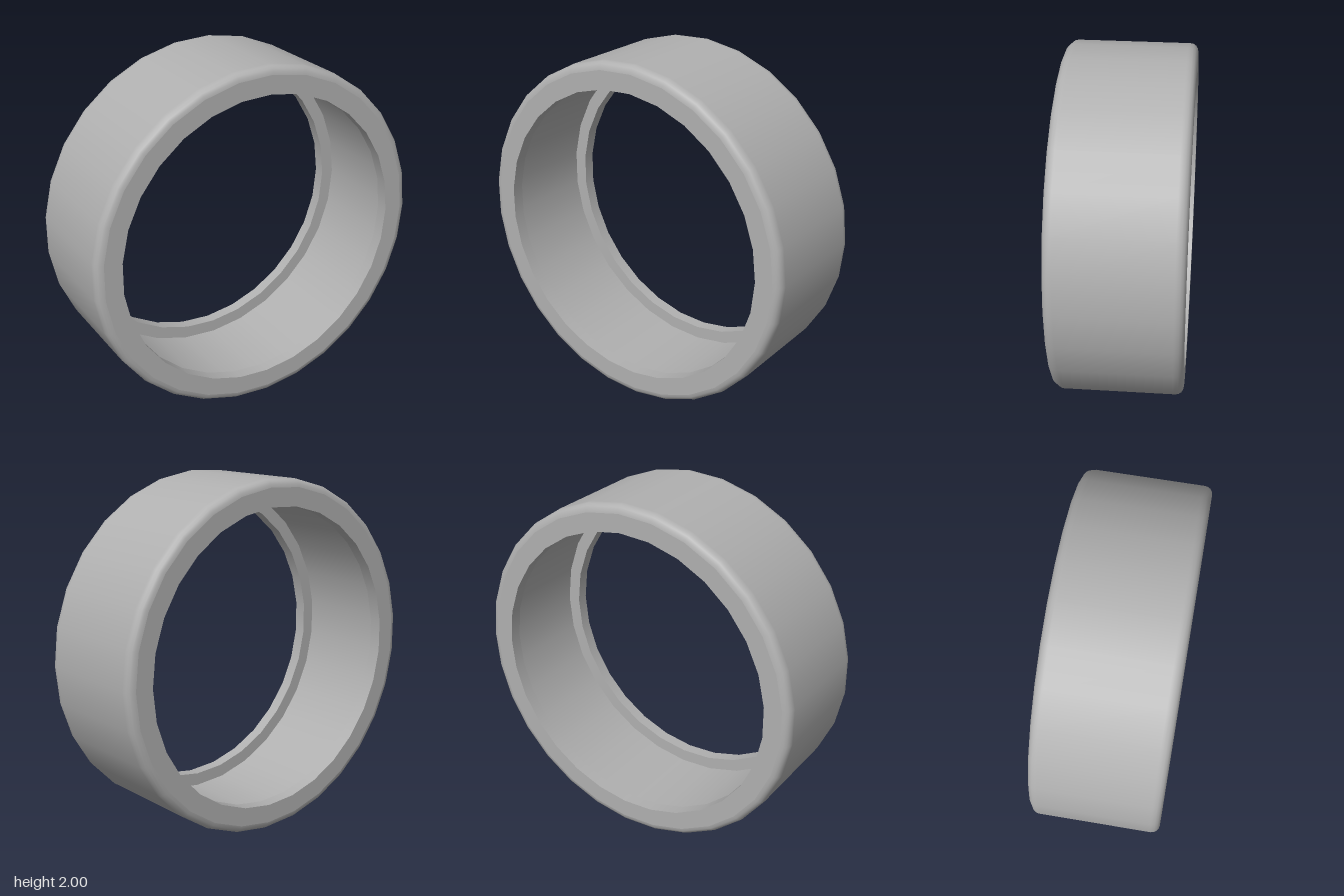
import * as THREE from 'three';

const SIDES = 29;
const OUTER = 1, HOLE = 0.85, GROOVE = 0.925;
const HALF = 0.36, LIP = 0.07, BEVEL = 0.045;

export function createModel() {
  const group = new THREE.Group();
  group.name = 'ring';
  const grey = new THREE.MeshStandardMaterial({ color: 0xb0b0b0 });
  grey.name = 'grey';

  // Turns a [radius, depth] profile around the z axis
  function turn(name, profile) {
    const points = profile.map(([r, z]) => new THREE.Vector2(r, z));
    const geometry = new THREE.LatheGeometry(points, SIDES, Math.PI / 2);
    geometry.rotateX(Math.PI / 2);
    const mesh = new THREE.Mesh(geometry, grey);
    mesh.name = name;
    mesh.position.y = OUTER;
    group.add(mesh);
  }

  // Rounded corner from the outer wall to the front face
  const corner = [];
  for (let i = 0; i <= 4; i++) {
    const a = (i / 4) * Math.PI / 2;
    corner.push([OUTER - BEVEL + BEVEL * Math.cos(a), HALF - BEVEL + BEVEL * Math.sin(a)]);
  }
  const backCorner = corner.map(([r, z]) => [r, -z]).reverse();

  // Tread with rounded shoulders, and the two flat rims
  const rim = OUTER - BEVEL;
  turn('outerWall', [...backCorner, [OUTER, -HALF + BEVEL + 0.01], [OUTER, HALF - BEVEL - 0.01], ...corner]);
  turn('frontRim', [[rim, HALF], [HOLE, HALF]]);
  turn('backRim', [[HOLE, -HALF], [rim, -HALF]]);

  // Inside: two lips with a wide groove between them
  const inner = HALF - LIP;
  turn('frontLipEdge', [[HOLE, HALF], [HOLE, inner]]);
  turn('frontLipBack', [[HOLE, inner], [GROOVE, inner]]);
  turn('grooveWall', [[GROOVE, inner], [GROOVE, -inner]]);
  turn('backLipFront', [[GROOVE, -inner], [HOLE, -inner]]);
  turn('backLipEdge', [[HOLE, -inner], [HOLE, -HALF]]);

  return group;
}
